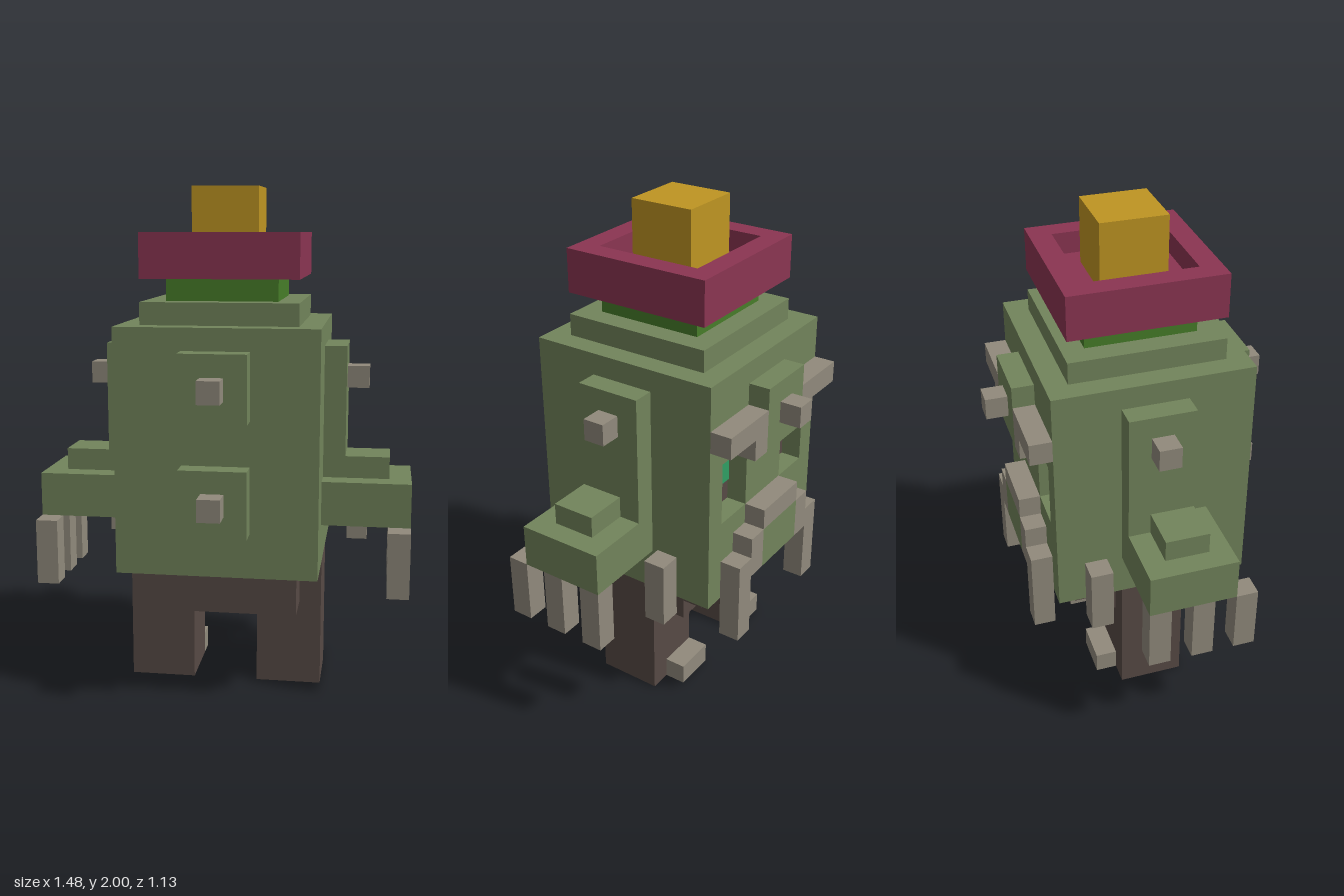
import * as THREE from 'three';

const U = 2 / 23; // one block

function material(name, color) {
  const m = new THREE.MeshStandardMaterial({ color });
  m.name = name;
  return m;
}

export function createModel() {
  const skin = material('mossy green', 0x72845b);
  const hide = material('dark brown', 0x574a45);
  const bone = material('bone grey', 0x918a7c);
  const crimson = material('crimson', 0x8b3552);
  const gold = material('gold', 0xbf9522);
  const leaf = material('leaf green', 0x477d29);
  const teal = material('teal', 0x2f9f64);

  const model = new THREE.Group();
  model.name = 'blockCreature';

  // Box between two corners, in blocks
  function box(name, mat, x0, x1, y0, y1, z0, z1) {
    const geo = new THREE.BoxGeometry((x1 - x0) * U, (y1 - y0) * U, (z1 - z0) * U);
    const mesh = new THREE.Mesh(geo, mat);
    mesh.position.set((x0 + x1) / 2 * U, (y0 + y1) / 2 * U, (z0 + z1) / 2 * U);
    mesh.name = name;
    model.add(mesh);
  }

  // The same box on both sides
  function pair(name, mat, x0, x1, ...rest) {
    box(name + 'Left', mat, x0, x1, ...rest);
    box(name + 'Right', mat, -x1, -x0, ...rest);
  }

  function rect(Type, x0, x1, y0, y1) {
    const points = [[x0, y0], [x1, y0], [x1, y1], [x0, y1]];
    return new Type(points.map(([x, y]) => new THREE.Vector2(x * U, y * U)));
  }

  function extrude(name, mat, shape, depth) {
    const geo = new THREE.ExtrudeGeometry(shape, { depth: depth * U, bevelEnabled: false });
    const mesh = new THREE.Mesh(geo, mat);
    mesh.name = name;
    model.add(mesh);
    return mesh;
  }

  // Legs, toes and hips
  pair('leg', hide, 1.5, 4.5, 0, 6, -1.5, 1.5);
  pair('toe', bone, 1.5, 3.5, 0, 1, -2.5, -1.5);
  box('hips', hide, -3.5, 3.5, 4, 6, -2.5, 3.5);
  box('hipLedge', hide, -3.5, 3.5, 5, 6, -3.5, -2.5);

  // Body and stepped shoulders
  box('body', skin, -4.5, 4.5, 6, 17, -3.5, 4.5);
  box('shoulders', skin, -3.5, 3.5, 17, 18, -3.5, 3.5);

  // Face wall with eye sockets and a notch for the mouth
  const outline = [[-4.5, 6], [-1.5, 6], [-1.5, 7], [1.5, 7], [1.5, 6], [4.5, 6], [4.5, 17], [-4.5, 17]];
  const face = new THREE.Shape(outline.map(([x, y]) => new THREE.Vector2(x * U, y * U)));
  face.holes.push(rect(THREE.Path, 1.5, 3.5, 10, 13), rect(THREE.Path, -3.5, -1.5, 10, 13));
  extrude('face', skin, face, 1).position.z = -4.5 * U;
  pair('eyeSocket', hide, 1.5, 3.5, 10, 13, -3.54, -3.5);
  pair('eye', teal, 1.5, 2.5, 11, 13, -3.6, -3.54);
  box('mouth', hide, -1.5, 1.5, 6, 7, -3.54, -3.5);

  // Forehead, brows, chin, and the stepped jaw arch with tusks
  box('forehead', skin, -1.5, 1.5, 13, 16, -5.5, -4.5);
  box('foreheadSpike', bone, -0.5, 0.5, 14, 15, -6.5, -5.5);
  pair('outerBrow', bone, 2.5, 4.5, 14, 15, -5.5, -4.5);
  pair('innerBrow', bone, 1.5, 2.5, 13, 15, -5.5, -4.5);
  box('chin', skin, -1.5, 1.5, 7, 9, -5.5, -4.5);
  box('jawArch', bone, -1.5, 1.5, 9, 10, -5.5, -4.5);
  pair('jawStep', bone, 1.5, 2.5, 7, 9, -5.5, -4.5);
  pair('tusk', bone, 2.5, 3.5, 4, 8, -5.5, -4.5);

  // Spiked bumps on the front
  for (const y of [8, 13]) {
    box('bump', skin, -1.5, 1.5, y, y + 3, 4.5, 5.5);
    box('bumpSpike', bone, -0.5, 0.5, y + 1, y + 2, 5.5, 6.5);
  }

  // Arms, hands and fingers
  pair('upperArm', skin, 4.5, 5.5, 10, 16, -1.5, 1.5);
  pair('armSpike', bone, 5.5, 6.5, 14, 15, -0.5, 0.5);
  pair('wrist', skin, 4.5, 7.5, 10, 11, -0.5, 1.5);
  pair('hand', skin, 4.5, 8.5, 8, 10, -1.5, 2.5);
  for (const z of [-1.5, 0.5, 2.5]) pair('finger', bone, 7.5, 8.5, 5, 8, z, z + 1);
  pair('thumb', bone, 5.5, 6.5, 6, 9, -3.5, -2.5);

  // Neck, hollow collar and gold top block
  box('neck', leaf, -2.5, 2.5, 18, 19, -2.5, 2.5);
  box('collarBase', crimson, -3.5, 3.5, 19, 20, -3.5, 3.5);
  const ring = rect(THREE.Shape, -3.5, 3.5, -3.5, 3.5);
  ring.holes.push(rect(THREE.Path, -2.5, 2.5, -2.5, 2.5));
  const rim = extrude('collarRim', crimson, ring, 1);
  rim.rotation.x = -Math.PI / 2;
  rim.position.y = 20 * U;
  box('topBlock', gold, -1.5, 1.5, 20, 23, -1.5, 1.5);

  return model;
}
